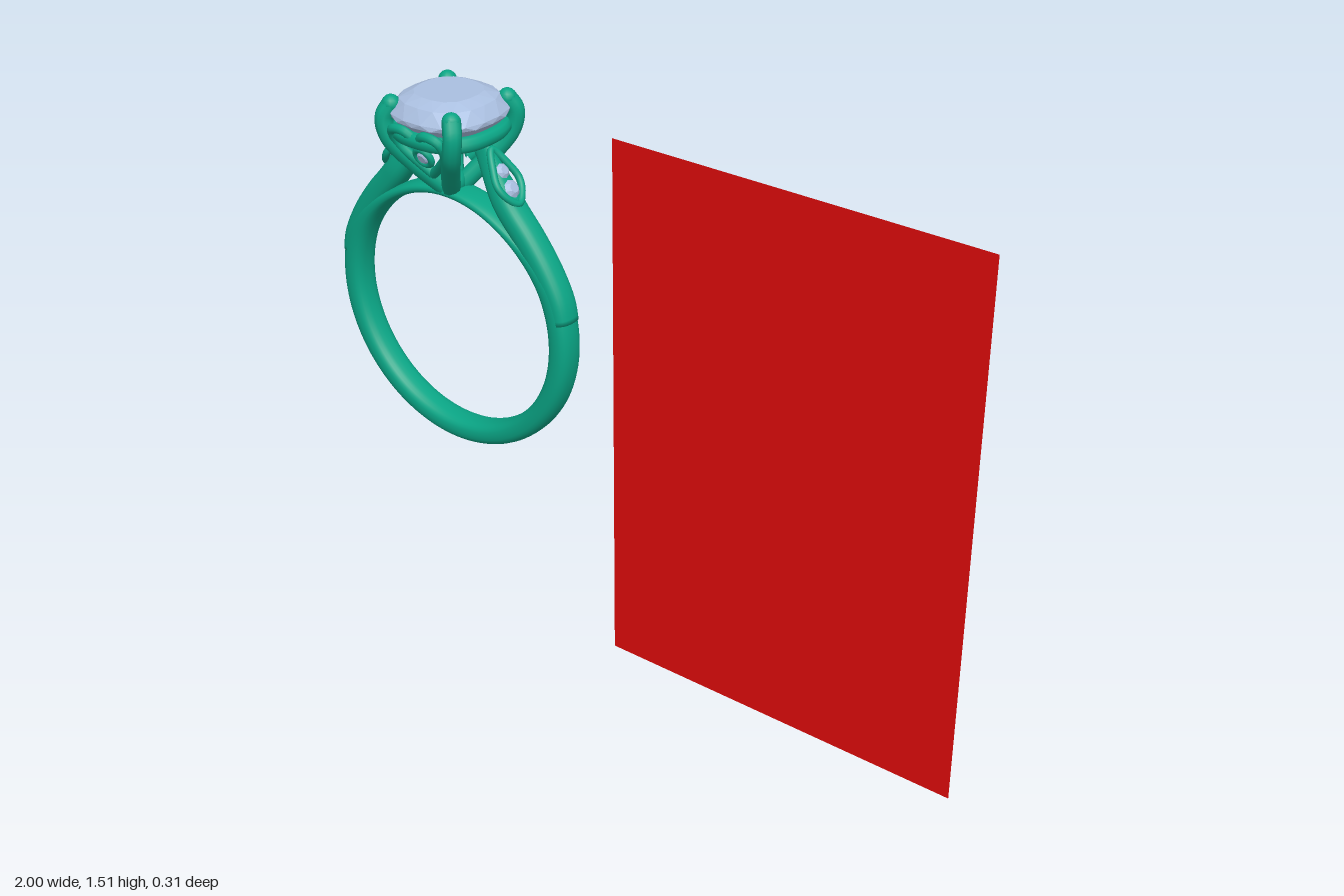
import * as THREE from 'three';

const metal = new THREE.MeshStandardMaterial({ color: 0x0aa585 });
const stone = new THREE.MeshStandardMaterial({ color: 0xaabfe0, flatShading: true });
const red = new THREE.MeshStandardMaterial({ color: 0xe00c0c, side: THREE.DoubleSide });
const V = (x, y, z) => new THREE.Vector3(x, y, z);

function add(parent, name, geo, mat, pos) {
  const m = new THREE.Mesh(geo, mat);
  m.name = name;
  if (pos) m.position.copy(pos);
  parent.add(m);
  return m;
}

const pw = (v, e) => Math.sign(v) * Math.pow(Math.abs(v), e);

// Sweep a rounded section along rows {x, y, nx, ny, t: half thickness, w: half width}
function sweep(rows, closed) {
  const n = 24, pos = [], idx = [];
  for (const r of rows) {
    for (let j = 0; j < n; j++) {
      const f = (j / n) * Math.PI * 2;
      const a = r.t * pw(Math.cos(f), 0.8), b = r.w * pw(Math.sin(f), 0.8);
      pos.push(r.x + r.nx * a, r.y + r.ny * a, b);
    }
  }
  const last = closed ? rows.length : rows.length - 1;
  for (let i = 0; i < last; i++) {
    for (let j = 0; j < n; j++) {
      const k = (i + 1) % rows.length, l = (j + 1) % n;
      const a = i * n + j, b = k * n + j, c = i * n + l, d = k * n + l;
      idx.push(a, b, c, b, d, c);
    }
  }
  const g = new THREE.BufferGeometry();
  g.setAttribute('position', new THREE.Float32BufferAttribute(pos, 3));
  g.setIndex(idx);
  g.computeVertexNormals();
  return g;
}

// Rounded-square radius: p = 2 is a circle, higher is squarer
const cushion = (f, p) =>
  Math.pow(Math.abs(Math.cos(f)) ** p + Math.abs(Math.sin(f)) ** p, -1 / p);

// Faceted stone from [radius, height] levels, top to bottom, each turned half a facet
function gem(levels, n, p) {
  const pos = [], idx = [];
  levels.forEach(([r, y], l) => {
    for (let j = 0; j < n; j++) {
      const f = ((j + l / 2) / n) * Math.PI * 2, k = r * cushion(f, p);
      pos.push(k * Math.cos(f), y, k * Math.sin(f));
    }
  });
  for (let l = 0; l < levels.length - 1; l++) {
    for (let j = 0; j < n; j++) {
      const a = l * n + j, b = l * n + ((j + 1) % n);
      idx.push(a, b, a + n, b, b + n, a + n);
    }
  }
  let g = new THREE.BufferGeometry();
  g.setAttribute('position', new THREE.Float32BufferAttribute(pos, 3));
  g.setIndex(idx);
  g = g.toNonIndexed();
  g.computeVertexNormals();
  return g;
}

const tube = (pts, r, closed = false, seg = 40) =>
  new THREE.TubeGeometry(new THREE.CatmullRomCurve3(pts, closed), seg, r, 10, closed);

// Small round accent stone facing a direction
function accent(parent, name, r, pos, dir) {
  const g = gem([[0, 0.4 * r], [0.55 * r, 0.4 * r], [r, 0], [0, -0.8 * r]], 8, 2);
  const m = add(parent, name, g, stone, pos);
  m.quaternion.setFromUnitVectors(V(0, 1, 0), dir.clone().normalize());
}

export function createModel() {
  const model = new THREE.Group();
  model.name = 'ringWithPanel';
  const ring = new THREE.Group();
  ring.name = 'ring';
  ring.position.x = -0.595;
  model.add(ring);

  // Flat backdrop panel
  add(model, 'panel', new THREE.PlaneGeometry(1.065, 1.515), red, V(0.4675, 0.7575, 0));

  // Band, thinning to an arch below the head
  const CY = 0.89, band = [];
  for (let i = 0; i < 120; i++) {
    const f = (i / 120) * Math.PI * 2, s = Math.sin(f);
    const thin = THREE.MathUtils.smoothstep(s, 0.35, 0.9);
    const th = THREE.MathUtils.lerp(0.069 + 0.004 * s, 0.031, thin);
    const r = 0.333 + th / 2;
    band.push({ x: r * Math.cos(f), y: CY + r * s, nx: Math.cos(f), ny: s, t: th / 2, w: 0.042 });
  }
  add(ring, 'band', sweep(band, true), metal);

  // Shoulders, each with a teardrop frame and two accent stones
  const path = new THREE.CatmullRomCurve3([
    V(0.367, 0.95, 0), V(0.354, 1.015, 0), V(0.316, 1.09, 0), V(0.262, 1.165, 0),
    V(0.197, 1.24, 0), V(0.142, 1.325, 0), V(0.1, 1.4, 0)]);
  const rows = [];
  for (let i = 0; i <= 40; i++) {
    const u = i / 40, p = path.getPointAt(u), t = path.getTangentAt(u);
    const taper = THREE.MathUtils.smoothstep(u, 0.65, 1);
    const end = i === 0 || i === 40 ? 0.02 : 1;
    rows.push({ x: p.x, y: p.y, nx: t.y, ny: -t.x,
      t: end * (0.036 - 0.008 * taper), w: end * (0.041 - 0.026 * taper) });
  }
  const foot = V(0.226, 1.258, 0), tip = V(0.138, 1.385, 0);
  const out = V(tip.y - foot.y, foot.x - tip.x, 0).normalize();
  const drop = [[0, 0], [0.15, 0.028], [0.38, 0.042], [0.65, 0.031], [1, 0],
    [0.65, -0.031], [0.38, -0.042], [0.15, -0.028]].map(([u, z]) => {
    const p = foot.clone().lerp(tip, u);
    p.z = z;
    return p;
  });
  for (const turn of [0, Math.PI]) {
    const side = new THREE.Group();
    side.name = turn ? 'rightShoulder' : 'leftShoulder';
    side.rotation.y = turn;
    ring.add(side);
    add(side, 'shoulder', sweep(rows, false), metal);
    add(side, 'teardropFrame', tube(drop, 0.01, true, 64), metal);
    for (const [u, r] of [[0.27, 0.025], [0.6, 0.021]]) {
      accent(side, 'shoulderStone', r, foot.clone().lerp(tip, u).addScaledVector(out, 0.002), out);
    }
  }

  // Centre stone
  const head = new THREE.Group();
  head.name = 'head';
  ring.add(head);
  add(head, 'centreStone', gem([[0, 1.515], [0.085, 1.515], [0.12, 1.5], [0.145, 1.468],
    [0.145, 1.456], [0.085, 1.395], [0, 1.34]], 16, 2.6), stone);

  // Cushion-shaped rail under the stone
  const rail = [];
  for (let i = 0; i < 32; i++) {
    const f = (i / 32) * Math.PI * 2, r = 0.126 * cushion(f, 2.6);
    rail.push(V(r * Math.cos(f), 1.415, r * Math.sin(f)));
  }
  add(head, 'rail', tube(rail, 0.022, true, 96), metal);

  // Four claws with rounded tips
  for (const sx of [1, -1]) for (const sz of [1, -1]) {
    const pts = [[0.012, 1.25, 0.02], [0.058, 1.315, 0.07], [0.106, 1.395, 0.117],
      [0.117, 1.45, 0.122], [0.103, 1.485, 0.108]].map(([x, y, z]) => V(x * sx, y, z * sz));
    add(head, 'claw', tube(pts, 0.025), metal);
    add(head, 'clawTip', new THREE.SphereGeometry(0.025, 14, 10), metal, pts[4]);
  }
  add(head, 'headBase', new THREE.SphereGeometry(0.036, 20, 12), metal, V(0, 1.262, 0));

  // Heart scrolls with a bezel stone, front and back
  for (const turn of [0, Math.PI]) {
    const scroll = new THREE.Group();
    scroll.name = turn ? 'backScroll' : 'frontScroll';
    scroll.rotation.y = turn;
    head.add(scroll);
    for (const s of [1, -1]) {
      const pts = [[0, 1.41], [0.035, 1.438], [0.078, 1.43], [0.082, 1.39], [0.045, 1.345], [0, 1.305]]
        .map(([x, y]) => V(x * s, y, 0.07 + (y - 1.3) * 0.5));
      add(scroll, 'heartScroll', tube(pts, 0.013), metal);
    }
    const at = V(0, 1.363, 0.106), dir = V(0, -0.42, 1);
    const bezel = add(scroll, 'bezel', new THREE.TorusGeometry(0.025, 0.009, 10, 28), metal, at);
    bezel.quaternion.setFromUnitVectors(V(0, 0, 1), dir.clone().normalize());
    accent(scroll, 'bezelStone', 0.024, at, dir);
  }
  return model;
}
